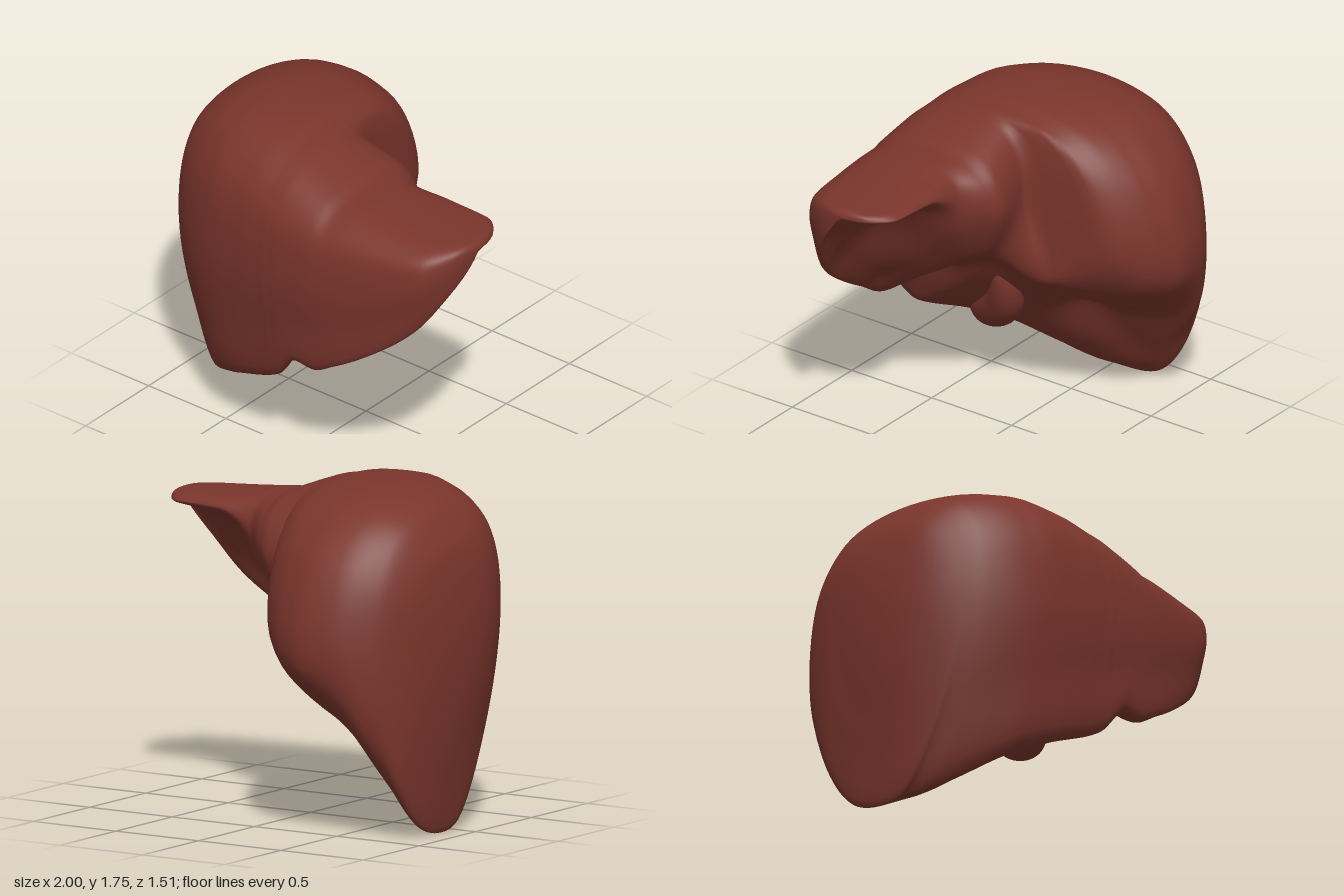
import * as THREE from 'three';

// Domed outer face: x, top y, top z, front z, front y, back z, back y
const OUTER = [
  [-1, 1.0, 0, 0, 1.0, 0, 1.0],
  [-0.95, 1.43, 0, 0.27, 1.05, -0.33, 0.98],
  [-0.9, 1.535, 0, 0.37, 1.05, -0.47, 0.94],
  [-0.8, 1.65, 0, 0.5, 1.05, -0.62, 0.9],
  [-0.6, 1.73, 0.05, 0.63, 1.05, -0.735, 0.88],
  [-0.45, 1.75, 0.1, 0.68, 1.1, -0.752, 0.89],
  [-0.3, 1.745, 0.12, 0.705, 1.12, -0.705, 0.92],
  [-0.2, 1.735, 0.12, 0.72, 1.15, -0.635, 0.97],
  [-0.1, 1.71, 0.15, 0.73, 1.15, -0.52, 1.05],
  [-0.065, 1.705, 0.15, 0.735, 1.15, -0.42, 1.1],
  [-0.05, 1.7, 0.17, 0.735, 1.15, -0.2, 1.15],
  [0, 1.685, 0.2, 0.74, 1.15, -0.08, 1.25],
  [0.2, 1.615, 0.25, 0.745, 1.17, -0.1, 1.3],
  [0.28, 1.582, 0.27, 0.742, 1.18, -0.06, 1.33],
  [0.4, 1.57, 0.32, 0.73, 1.2, 0.04, 1.4],
  [0.6, 1.55, 0.35, 0.7, 1.25, 0.06, 1.48],
  [0.84, 1.535, 0.35, 0.635, 1.35, 0.07, 1.49],
  [0.96, 1.53, 0.34, 0.5, 1.42, 0.17, 1.49],
  [1, 1.49, 0.33, 0.33, 1.49, 0.33, 1.49],
];

// Hollow underside: x, then four (z, y) points from the lower front edge to the back
const UNDER = [
  [-1, 0, 1, 0, 1, 0, 1, 0, 1],
  [-0.95, 0.08, 0.55, -0.05, 0.48, -0.15, 0.5, -0.26, 0.65],
  [-0.92, 0.05, 0.33, -0.08, 0.28, -0.22, 0.31, -0.38, 0.56],
  [-0.87, 0.03, 0.04, -0.12, 0, -0.29, 0.05, -0.46, 0.32],
  [-0.8, 0.14, 0.06, -0.12, 0.05, -0.36, 0.16, -0.56, 0.47],
  [-0.7, 0.3, 0.14, 0.02, 0.15, -0.32, 0.27, -0.61, 0.55],
  [-0.55, 0.47, 0.26, 0.22, 0.29, -0.2, 0.48, -0.58, 0.62],
  [-0.35, 0.57, 0.36, 0.38, 0.42, -0.05, 0.6, -0.5, 0.69],
  [-0.05, 0.64, 0.5, 0.49, 0.57, 0.17, 0.79, -0.2, 0.85],
  [0.1, 0.68, 0.655, 0.5, 0.76, 0.22, 0.9, 0, 1.02],
  [0.2, 0.68, 0.645, 0.5, 0.74, 0.25, 0.9, 0.02, 1.07],
  [0.35, 0.69, 0.72, 0.56, 0.83, 0.31, 0.99, 0.07, 1.2],
  [0.6, 0.66, 0.88, 0.57, 1.03, 0.41, 1.25, 0.2, 1.41],
  [0.8, 0.59, 1.05, 0.51, 1.18, 0.39, 1.35, 0.2, 1.44],
  [0.93, 0.5, 1.25, 0.43, 1.35, 0.34, 1.42, 0.23, 1.465],
  [1, 0.33, 1.49, 0.33, 1.49, 0.33, 1.49, 0.33, 1.49],
];

// Impressions pressed upward into the underside: x, y, z, radius, depth
const DENTS = [
  [-0.58, 0.43, -0.05, 0.16, 0.1],
  [-0.72, 0.28, -0.2, 0.12, 0.05],
  [0.5, 1.15, 0.35, 0.2, 0.04],
  [0.08, 0.8, 0.42, 0.1, 0.05],
  [-0.05, 0.85, 0.1, 0.12, 0.06],
];

// Overshoot-free cubic through the table rows, measured by angle so both ends close round
function sampler(table) {
  const s = table.map((r) => Math.acos(-r[0]));
  const slope = (i, k) => (table[i + 1][k] - table[i][k]) / (s[i + 1] - s[i]);
  const tangent = (i, k) => {
    if (i === 0) return slope(0, k);
    if (i === s.length - 1) return slope(i - 1, k);
    const a = slope(i - 1, k), b = slope(i, k);
    return a * b <= 0 ? 0 : (2 * a * b) / (a + b);
  };
  return (at) => {
    let i = 0;
    while (i < s.length - 2 && at > s[i + 1]) i++;
    const h = s[i + 1] - s[i], t = (at - s[i]) / h, t2 = t * t, t3 = t2 * t;
    return table[i].map((v, k) =>
      v * (2 * t3 - 3 * t2 + 1) + table[i + 1][k] * (3 * t2 - 2 * t3) +
      h * (tangent(i, k) * (t3 - 2 * t2 + t) + tangent(i + 1, k) * (t3 - t2)));
  };
}

// Point on a rounded shoulder between the side (f = 0) and the crown (f = 1)
function shoulder(zs, ys, zt, yt, f, power) {
  const a = (f * Math.PI) / 2, e = 2 / power;
  return [zt + (zs - zt) * Math.cos(a) ** e, ys + (yt - ys) * Math.sin(a) ** e];
}

function bodyGeometry() {
  const outer = sampler(OUTER), under = sampler(UNDER);
  const rings = 200, perSegment = 7, position = [], index = [];
  let n = 0;
  for (let i = 0; i <= rings; i++) {
    const s = (i / rings) * Math.PI, x = -Math.cos(s);
    const [, yt, zt, zf, yf, zb, yb] = outer(s);
    const u = under(s);
    const loop = [
      [zb, yb],
      shoulder(zb, yb, zt, yt, 0.33, 2.5),
      shoulder(zb, yb, zt, yt, 0.66, 2.5),
      [zt, yt],
      shoulder(zf, yf, zt, yt, 0.66, 2.8),
      shoulder(zf, yf, zt, yt, 0.33, 2.8),
      [zf, yf],
      [u[1] + (zf - u[1]) * 0.7, (u[2] + yf) / 2],
      [u[1], u[2]], [u[3], u[4]], [u[5], u[6]], [u[7], u[8]],
    ].map(([z, y]) => new THREE.Vector3(x, y, z));
    const curve = new THREE.CatmullRomCurve3(loop, true);
    n = loop.length * perSegment;
    for (let j = 0; j < n; j++) {
      const p = curve.getPoint(j / n);
      let lift = 0;
      for (const [dx, dy, dz, r, depth] of DENTS) {
        const d2 = (p.x - dx) ** 2 + (p.y - dy) ** 2 + (p.z - dz) ** 2;
        lift += depth * Math.exp(-d2 / (r * r));
      }
      position.push(x, Math.max(0, p.y + lift), p.z);
    }
  }
  for (let i = 0; i < rings; i++) {
    for (let j = 0; j < n; j++) {
      const a = i * n + j, b = i * n + ((j + 1) % n);
      index.push(a, b, a + n, b, b + n, a + n);
    }
  }
  const g = new THREE.BufferGeometry();
  g.setAttribute('position', new THREE.Float32BufferAttribute(position, 3));
  g.setIndex(index);
  g.computeVertexNormals();
  return g;
}

// Curved teardrop: a tube whose rings are scaled from a round end to a thin neck
function sacGeometry() {
  const path = new THREE.CatmullRomCurve3([
    new THREE.Vector3(-0.42, 0.36, 0.54),
    new THREE.Vector3(-0.37, 0.4, 0.4),
    new THREE.Vector3(-0.26, 0.53, 0.24),
    new THREE.Vector3(-0.11, 0.75, 0.17),
  ]);
  const steps = 40, sides = 28;
  const g = new THREE.TubeGeometry(path, steps, 1, sides);
  const pos = g.attributes.position, p = new THREE.Vector3();
  for (let i = 0; i <= steps; i++) {
    const t = i / steps, c = path.getPointAt(t);
    const r = 0.26 * Math.sqrt(t) * (1 - t) ** 0.8 + 0.001;
    for (let j = 0; j <= sides; j++) {
      const k = i * (sides + 1) + j;
      p.fromBufferAttribute(pos, k).sub(c).multiplyScalar(r).add(c);
      pos.setXYZ(k, p.x, p.y, p.z);
    }
  }
  g.computeVertexNormals();
  return g;
}

export function createModel() {
  const tissue = new THREE.MeshStandardMaterial({ color: 0x7a352c });
  tissue.name = 'reddish brown';
  const model = new THREE.Group();
  model.name = 'liver';
  const add = (name, geometry) => {
    const mesh = new THREE.Mesh(geometry, tissue);
    mesh.name = name;
    model.add(mesh);
  };
  add('lobes', bodyGeometry());
  add('gallbladder', sacGeometry());
  return model;
}
